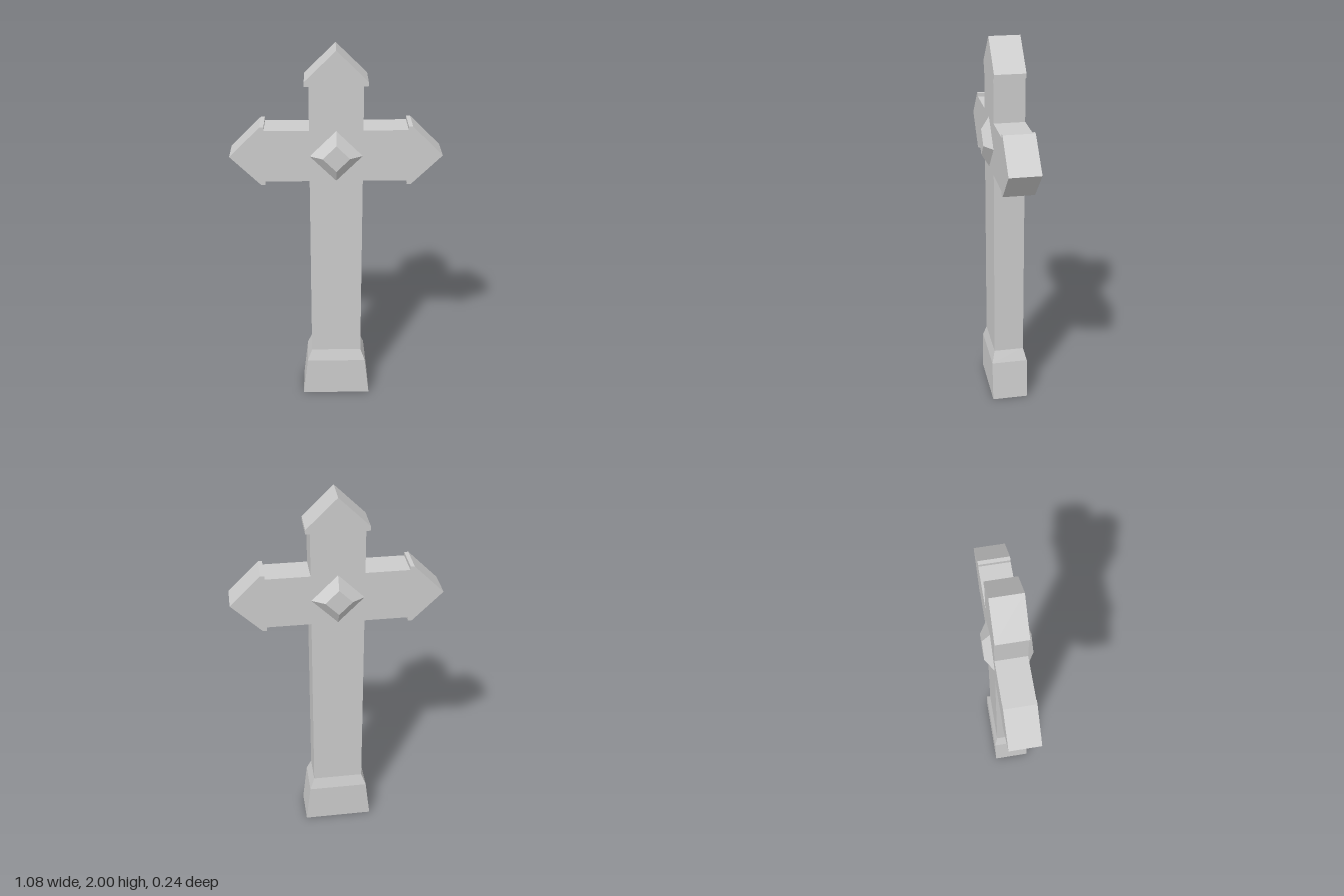
import * as THREE from 'three';

const material = new THREE.MeshStandardMaterial({ color: 0xcccccc, flatShading: true });

const SHAFT = 0.136;   // half width of shaft and arms
const DEPTH = 0.08;    // half thickness
const CENTRE = 1.458;  // height of the crossing

// Box whose top and bottom have their own half sizes [x, z], standing on y = 0
function taperedBlock(bottom, top, height) {
  const geometry = new THREE.BoxGeometry(2, height, 2);
  geometry.translate(0, height / 2, 0);
  const p = geometry.attributes.position;
  for (let i = 0; i < p.count; i++) {
    const [sx, sz] = p.getY(i) > height / 2 ? top : bottom;
    p.setX(i, p.getX(i) * sx);
    p.setZ(i, p.getZ(i) * sz);
  }
  geometry.computeVertexNormals();
  return geometry;
}

function addPart(group, name, geometry) {
  const mesh = new THREE.Mesh(geometry, material);
  mesh.name = name;
  group.add(mesh);
  return mesh;
}

export function createModel() {
  const group = new THREE.Group();
  group.name = 'stoneCross';

  // Right half of the outline, from the shaft foot up to the top point
  const half = [
    [SHAFT, 0.285], [SHAFT, 1.322],
    [0.362, 1.322], [0.362, 1.302], [0.383, 1.302],
    [0.54, CENTRE],
    [0.383, 1.614], [0.362, 1.614], [0.362, 1.595],
    [SHAFT, 1.595], [SHAFT, 1.822],
    [0.158, 1.822], [0.158, 1.845],
  ];
  const mirrored = half.map(([x, y]) => [-x, y]).reverse();
  const outline = [...half, [0, 2], ...mirrored].map(([x, y]) => new THREE.Vector2(x, y));
  const crossGeometry = new THREE.ExtrudeGeometry(new THREE.Shape(outline), {
    depth: DEPTH * 2, bevelEnabled: false,
  });
  crossGeometry.translate(0, 0, -DEPTH);
  addPart(group, 'cross', crossGeometry);

  // Plinth and the sloped collar above it
  addPart(group, 'plinth', taperedBlock([0.186, 0.097], [0.161, 0.097], 0.22));
  addPart(group, 'plinthCollar', taperedBlock([0.161, 0.097], [SHAFT, DEPTH], 0.065)).position.y = 0.22;

  // Cut-off pyramid bosses on the front and back
  for (const [name, side] of [['frontBoss', 1], ['backBoss', -1]]) {
    const boss = new THREE.CylinderGeometry(0.069, SHAFT, 0.042, 4);
    boss.rotateX(side * Math.PI / 2);
    addPart(group, name, boss).position.set(0, CENTRE, side * (DEPTH + 0.02));
  }

  return group;
}
